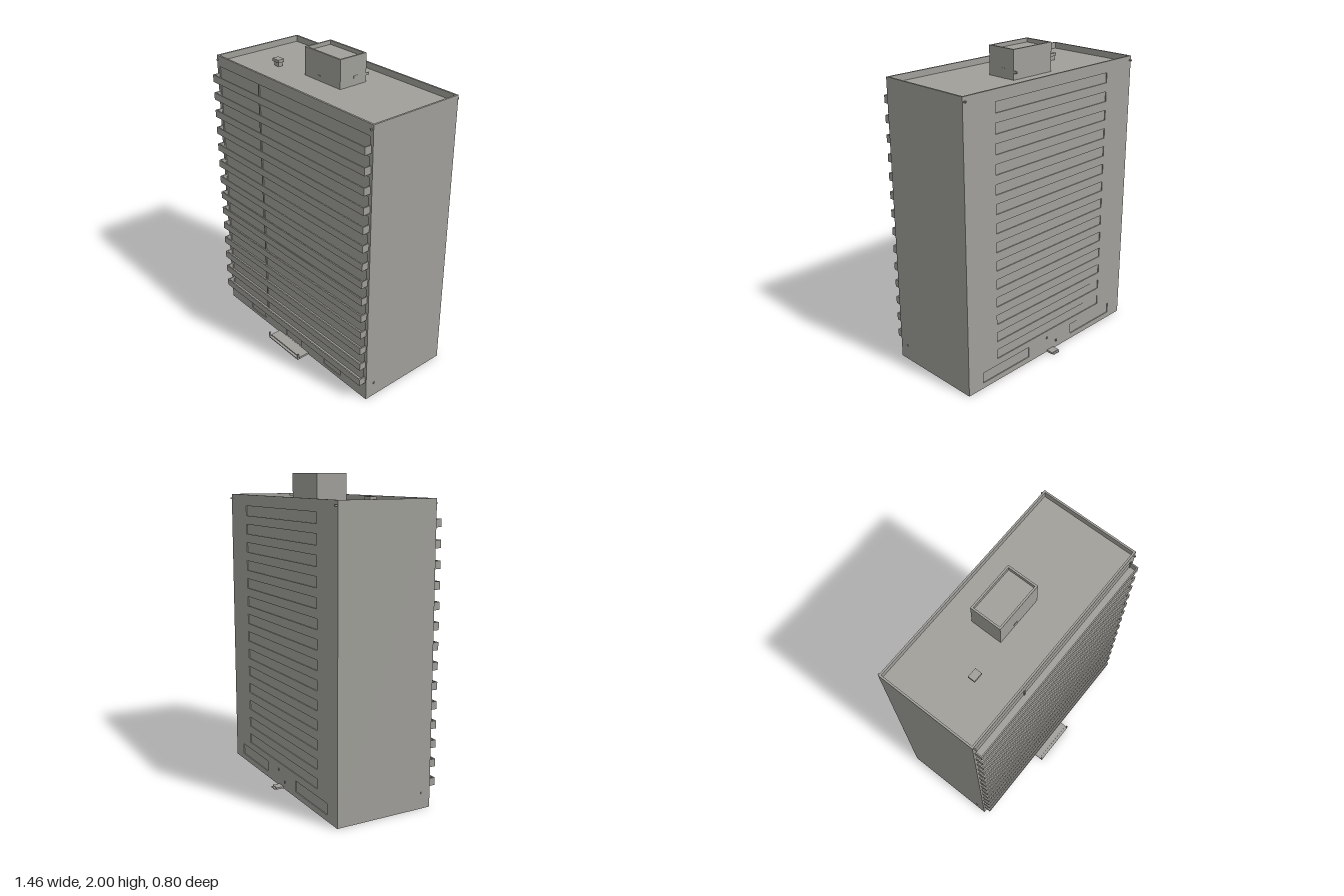
import * as THREE from 'three';

const concrete = new THREE.MeshStandardMaterial({ color: 0xa09f9a, side: THREE.DoubleSide });
concrete.name = 'concrete';

const HALF = 0.725, FRONT = 0.307, BACK = -0.34, TOP = 1.86, ROOF = 1.82;
const WALL = 0.012, RECESS = 0.006, FLOORS = 14, STEP = 0.1206;

// Box given by its limits on each axis
function box(parent, name, x0, x1, y0, y1, z0, z1) {
  const mesh = new THREE.Mesh(new THREE.BoxGeometry(x1 - x0, y1 - y0, z1 - z0), concrete);
  mesh.position.set((x0 + x1) / 2, (y0 + y1) / 2, (z0 + z1) / 2);
  mesh.name = name;
  parent.add(mesh);
  return mesh;
}

// Wall skin with rectangular openings [x0, x1, y0, y1]
function wallSkin(parent, name, openings, z) {
  const rect = (path, x0, x1, y0, y1) =>
    path.moveTo(x0, y0).lineTo(x1, y0).lineTo(x1, y1).lineTo(x0, y1).lineTo(x0, y0);
  const shape = new THREE.Shape();
  rect(shape, -HALF, HALF, 0, TOP);
  for (const o of openings) {
    const hole = new THREE.Path();
    rect(hole, ...o);
    shape.holes.push(hole);
  }
  const mesh = new THREE.Mesh(
    new THREE.ExtrudeGeometry(shape, { depth: RECESS, bevelEnabled: false }), concrete);
  mesh.position.z = z;
  mesh.name = name;
  parent.add(mesh);
}

// Four thin upright walls around a rectangle
function rim(parent, name, x0, x1, y0, y1, z0, z1, t) {
  const group = new THREE.Group();
  group.name = name;
  box(group, name + 'Left', x1 - t, x1, y0, y1, z0, z1);
  box(group, name + 'Right', x0, x0 + t, y0, y1, z0, z1);
  box(group, name + 'Front', x0 + t, x1 - t, y0, y1, z1 - t, z1);
  box(group, name + 'Back', x0 + t, x1 - t, y0, y1, z0, z0 + t);
  parent.add(group);
}

function createWalls() {
  const walls = new THREE.Group();
  walls.name = 'walls';
  const front = [[-0.08, 0.08, 0.015, 0.1]];
  const back = [];
  for (const s of [-1, 1]) {
    front.push([s * 0.4 - 0.08, s * 0.4 + 0.08, 0.025, 0.095]);
    back.push([s * 0.404 - 0.202, s * 0.404 + 0.202, 0.038, 0.11]);
  }
  for (let i = 0; i < FLOORS; i++) {
    const y = i * STEP;
    front.push([-0.7, -0.29, 0.132 + y, 0.222 + y], [-0.28, 0.7, 0.132 + y, 0.222 + y]);
    back.push([-0.485, 0.485, 0.156 + y, 0.22 + y]);
  }
  wallSkin(walls, 'frontWall', front, FRONT - RECESS);
  wallSkin(walls, 'backWall', back, BACK);
  // Panes behind the openings
  box(walls, 'frontPanes', -HALF, HALF, 0, TOP, FRONT - WALL, FRONT - RECESS);
  box(walls, 'backPanes', -HALF, HALF, 0, TOP, BACK + RECESS, BACK + WALL);
  for (const s of [-1, 1]) {
    const x = s * (HALF - WALL / 2);
    box(walls, s > 0 ? 'leftWall' : 'rightWall',
      x - WALL / 2, x + WALL / 2, 0, TOP, BACK + WALL, FRONT - WALL);
  }
  return walls;
}

// Open-topped balcony running the width of the front
function createBalcony(y) {
  const balcony = new THREE.Group();
  balcony.name = 'balcony';
  const w = 0.713, h = 0.048, z1 = 0.353, t = 0.008;
  box(balcony, 'balconyFloor', -w, w, y, y + t, FRONT, z1);
  box(balcony, 'balconyFront', -w, w, y + t, y + h, z1 - t, z1);
  for (const s of [-1, 1]) {
    const x = s * (w - t / 2);
    box(balcony, 'balconyEnd', x - t / 2, x + t / 2, y + t, y + h, FRONT, z1 - t);
  }
  return balcony;
}

function createRoof() {
  const roof = new THREE.Group();
  roof.name = 'roof';
  box(roof, 'roofDeck', -HALF + WALL, HALF - WALL, ROOF - 0.01, ROOF, BACK + WALL, FRONT - WALL);
  // Stair house with a sunken top
  rim(roof, 'stairHouseWall', -0.163, 0.16, ROOF, 2, -0.16, 0.043, 0.012);
  box(roof, 'stairHouseRoof', -0.151, 0.148, 1.965, 1.975, -0.148, 0.031);
  box(roof, 'stairHouseDoor', 0.16, 0.162, ROOF, 1.88, -0.09, -0.06);
  box(roof, 'stairHouseVent', -0.05, -0.02, 1.85, 1.856, 0.043, 0.045);
  box(roof, 'stairHouseLamp', 0.154, 0.16, 1.86, 1.875, -0.183, -0.16);
  // Small roof vent
  box(roof, 'ventBase', -0.427, -0.383, ROOF, 1.847, 0.047, 0.078);
  box(roof, 'ventCap', -0.435, -0.375, 1.847, 1.866, 0.04, 0.085);
  return roof;
}

function createEntrances() {
  const entrances = new THREE.Group();
  entrances.name = 'entrances';
  // Front steps with end posts
  box(entrances, 'frontLanding', -0.158, 0.158, 0, 0.014, FRONT, 0.38);
  box(entrances, 'frontStep', -0.158, 0.158, 0, 0.007, 0.38, 0.398);
  for (const s of [-1, 1]) {
    const x = s * 0.155;
    box(entrances, 'stepPost', x - 0.003, x + 0.003, 0, 0.045, 0.388, 0.398);
  }
  // Back steps
  box(entrances, 'backLanding', -0.03, 0.03, 0, 0.012, -0.388, BACK);
  box(entrances, 'backStep', -0.026, 0.026, 0, 0.006, -0.4, -0.388);
  return entrances;
}

function createLamps() {
  const lamps = new THREE.Group();
  lamps.name = 'lamps';
  for (const s of [-1, 1]) {
    const x = s * 0.713;
    box(lamps, 'backCornerLamp', x - 0.004, x + 0.004, 1.827, 1.837, -0.355, BACK);
    box(lamps, 'frontCornerLamp', x - 0.004, x + 0.004, 1.827, 1.837, FRONT, 0.318);
    const side = s * 0.727;
    box(lamps, 'sideLamp', side - 0.003, side + 0.003, 0.095, 0.107, 0.24, 0.25);
  }
  box(lamps, 'backDoorLamp', 0.03, 0.038, 0.1, 0.115, -0.346, BACK);
  box(lamps, 'backDoorPanel', -0.062, -0.052, 0.043, 0.058, -0.346, BACK);
  return lamps;
}

export function createModel() {
  const model = new THREE.Group();
  model.name = 'apartmentBlock';
  model.add(createWalls(), createRoof(), createEntrances(), createLamps());
  for (let i = 0; i < FLOORS; i++) model.add(createBalcony(0.127 + i * STEP));
  return model;
}
